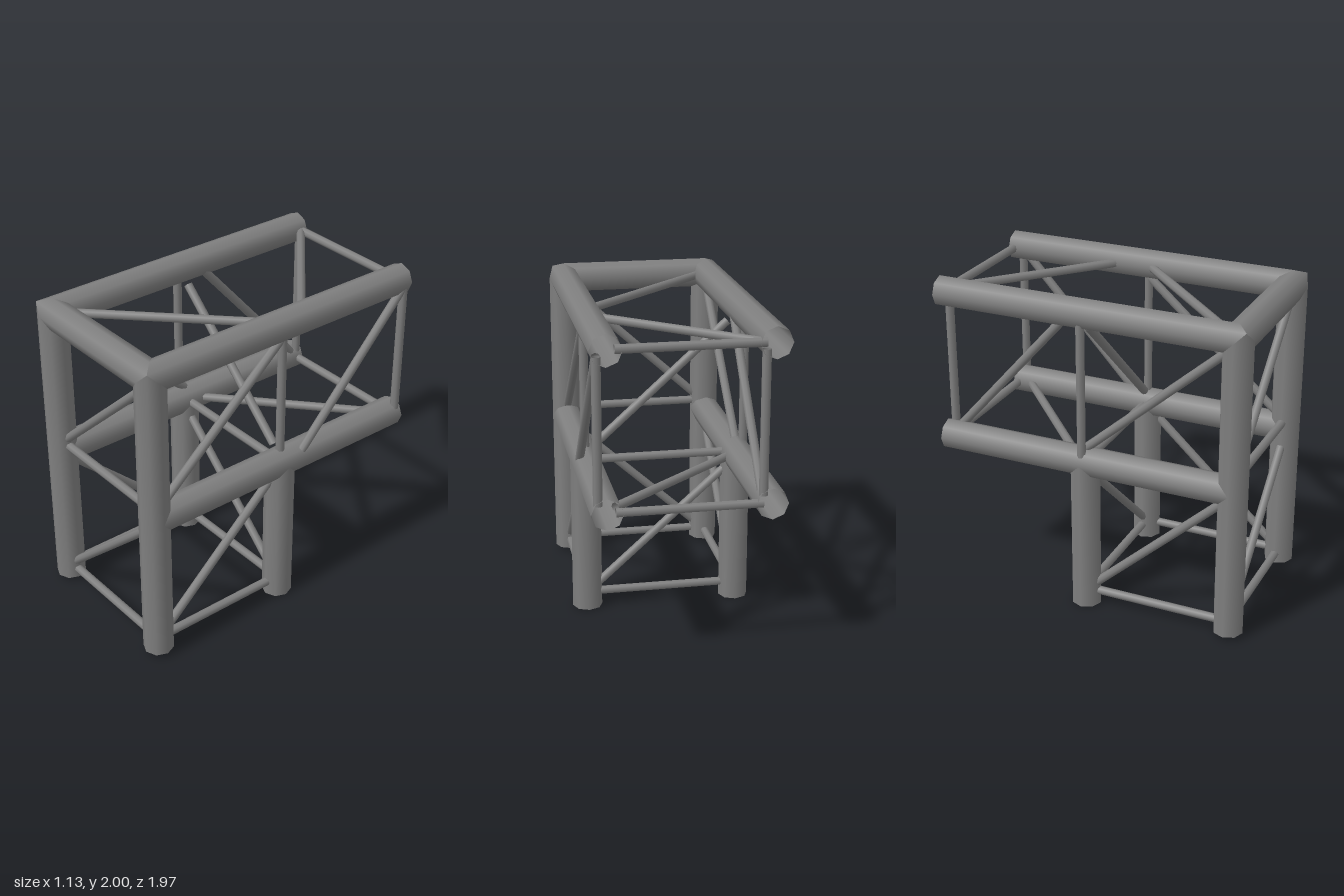
import * as THREE from 'three';

const V = (x, y, z) => new THREE.Vector3(x, y, z);
const UP = V(0, 1, 0), DOWN = V(0, -1, 0), BACK = V(0, 0, -1), FRONT = V(0, 0, 1);
const R = 0.093, THIN = 0.027; // main tube and brace radii
const X = 0.47, ZF = 0.89, ZM = -0.045, ZB = -0.955, ZEND = -0.983; // tube axes
const TOP = 1.907, MID = 0.972, LOW = 0.09;
const SHIFT = 0.05; // sideways offset of the braces that pass beside the rails

export function createModel() {
  const group = new THREE.Group();
  const material = new THREE.MeshStandardMaterial({ color: 0x7f7f7f, side: THREE.DoubleSide });

  // Open eight-sided tube from a to b; each end is mitred against the directions of the tubes it meets
  function tube(name, a, b, radius, startCuts = [], endCuts = []) {
    const dir = b.clone().sub(a), length = dir.length();
    dir.normalize();
    const g = new THREE.CylinderGeometry(radius, radius, length, 8, 1, true);
    g.applyQuaternion(new THREE.Quaternion().setFromUnitVectors(UP, dir));
    const pos = g.attributes.position, q = V(0, 0, 0);
    for (let i = 0; i < pos.count; i++) {
      q.fromBufferAttribute(pos, i);
      const t = q.dot(dir), atStart = t < 0;
      q.addScaledVector(dir, -t);
      const cuts = atStart ? startCuts : endCuts;
      const offset = cuts.length ? Math.max(...cuts.map((c) => c.dot(q))) : 0;
      q.add(atStart ? a : b).addScaledVector(dir, atStart ? offset : -offset);
      pos.setXYZ(i, q.x, q.y, q.z);
    }
    const mesh = new THREE.Mesh(g, material);
    mesh.name = name;
    group.add(mesh);
  }

  const main = (name, a, b, s, e) => tube(name, a, b, R, s, e);

  // Thin brace, run a little way into the tubes at both ends
  function brace(name, a, b, extra = 0.04) {
    const d = b.clone().sub(a).normalize().multiplyScalar(extra);
    tube(name, a.clone().sub(d), b.clone().add(d), THIN);
  }

  for (const s of [1, -1]) {
    const side = s > 0 ? 'left' : 'right', x = s * X, inward = V(-s, 0, 0);
    // Main frame of one side
    main(side + 'FrontPost', V(x, 0.03, ZF), V(x, TOP, ZF), [], [inward, BACK]);
    main(side + 'RearLeg', V(x, 0, ZM), V(x, MID, ZM), [], [FRONT, BACK]);
    main(side + 'TopRail', V(x, TOP, ZF), V(x, TOP, ZEND), [inward, DOWN], []);
    main(side + 'LowerRail', V(x, MID, ZF), V(x, MID, ZEND), [UP, DOWN], []);

    // Straight side braces
    const xMiddle = s > 0 ? x : x - SHIFT;
    brace(side + 'FootBrace', V(x, LOW, 0.8), V(x, LOW, 0.04));
    brace(side + 'MiddleUpright', V(xMiddle, 1.06, ZM), V(xMiddle, 1.82, ZM));
    brace(side + 'RearUpright', V(x + SHIFT, 1.02, ZB), V(x + SHIFT, 1.87, ZB), 0);

    // Side diagonals, mirrored up and down between the two sides
    const diagonal = (name, z1, z2, low, high) =>
      brace(side + name, V(x, s > 0 ? low : high, z1), V(x, s > 0 ? high : low, z2));
    diagonal('LowerDiagonal', 0.805, 0.04, 0.16, 0.86);
    diagonal('UpperDiagonal', 0.805, -0.015, 1.08, 1.8);
  }
  brace('leftRearDiagonal', V(X + SHIFT, 1.03, -0.18), V(X + SHIFT, 1.86, -0.945), 0.01);
  brace('rightRearDiagonal', V(-X + SHIFT, 1.83, -0.2), V(-X + SHIFT, 1.06, -0.88));

  // Front top bar
  main('frontTopBar', V(-X, TOP, ZF), V(X, TOP, ZF), [DOWN, BACK], [DOWN, BACK]);

  // Cross braces between the two sides
  const crossBars = [
    ['frontFoot', LOW, ZF], ['rearFoot', LOW, ZM], ['frontMiddle', 1.027, ZF],
    ['legTop', MID, ZM], ['rearLower', MID, ZB], ['rearTop', TOP, ZB],
  ];
  for (const [name, y, z] of crossBars) brace(name + 'CrossBrace', V(-0.38, y, z), V(0.38, y, z));

  // Diagonals across the front and across the plane of the rear legs
  for (const [name, z, s] of [['front', ZF, 1], ['middle', ZM, -1]]) {
    brace(name + 'LowerDiagonal', V(-s * 0.38, 0.165, z), V(s * 0.38, 0.845, z));
    brace(name + 'UpperDiagonal', V(-s * 0.38, 1.095, z), V(s * 0.38, 1.78, z));
  }

  // Diagonals lying flat between the rails
  brace('topFrontDiagonal', V(-0.38, TOP, 0.79), V(0.38, TOP, 0.03));
  brace('topRearDiagonal', V(-0.38, TOP, -0.93), V(0.38, TOP, -0.26));
  brace('lowerRearDiagonal', V(-0.38, MID, -0.16), V(0.38, MID, -0.84));

  return group;
}
